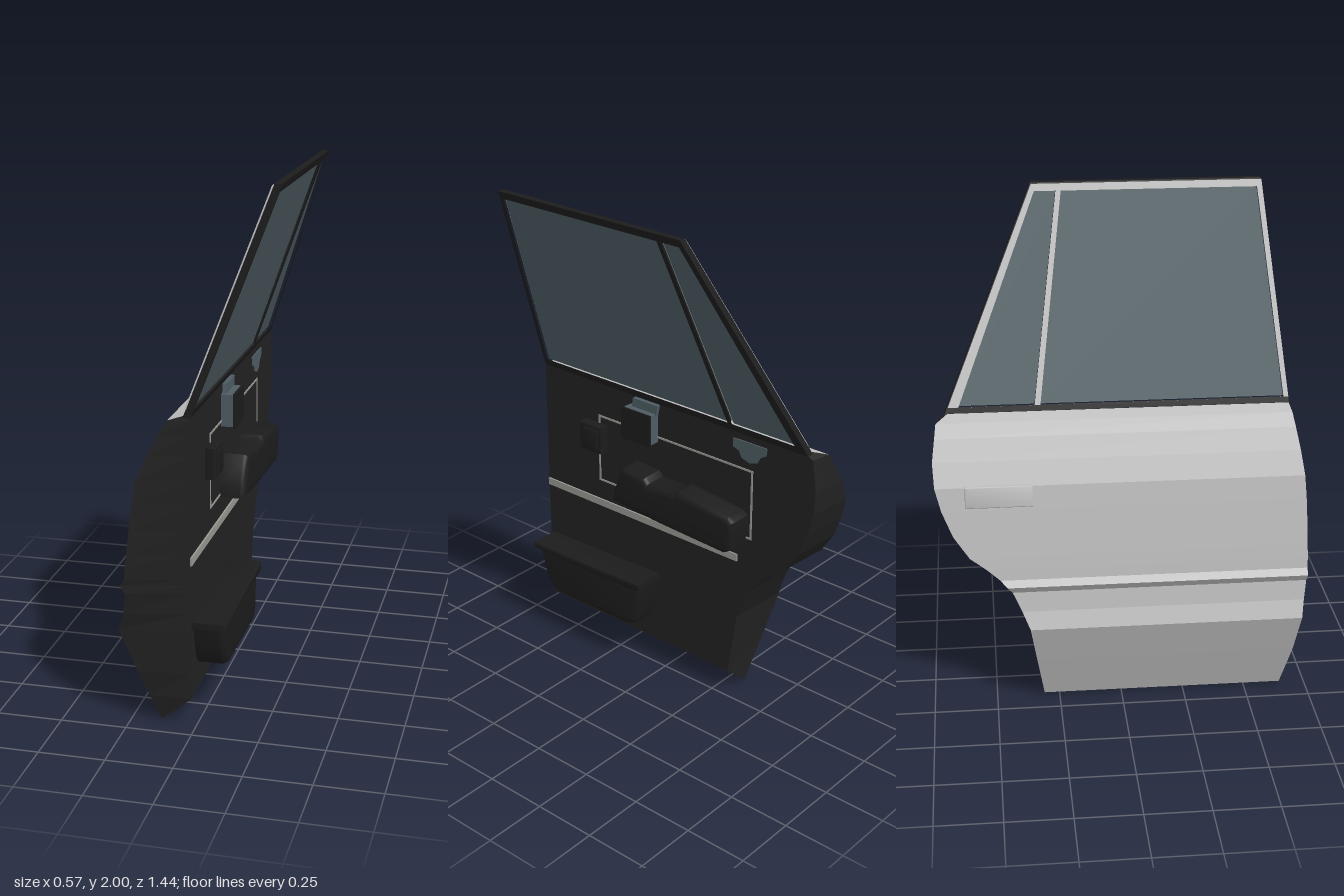
import * as THREE from 'three';
import { toCreasedNormals } from 'three/addons/utils/BufferGeometryUtils.js';

const mat = (name, color) => {
  const m = new THREE.MeshStandardMaterial({ color });
  m.name = name;
  return m;
};

export function createModel() {
  const silver = mat('silver paint', 0xc0c0c0);
  const dark = mat('dark lining', 0x222222);
  const black = mat('black plastic', 0x1c1c1c);
  const glass = mat('tinted glass', 0x4e5d63);
  const chrome = mat('grey trim', 0x989892);

  const door = new THREE.Group();
  door.name = 'vehicleDoor';

  const add = (name, geometry, material, parent = door) => {
    const mesh = new THREE.Mesh(geometry, material);
    mesh.name = name;
    parent.add(mesh);
    return mesh;
  };

  // Outline in (z, y) extruded along x from x0 to x1, with optional bevel and holes
  const toVec = ([z, y]) => new THREE.Vector2(-z, y);
  const slab = (outline, x0, x1, { bevel = 0, holes = [] } = {}) => {
    const shape = new THREE.Shape(outline.map(toVec));
    holes.forEach((h) => shape.holes.push(new THREE.Path(h.map(toVec))));
    const geo = new THREE.ExtrudeGeometry(shape, {
      depth: x1 - x0 - 2 * bevel, bevelEnabled: bevel > 0, bevelSize: bevel,
      bevelThickness: bevel, bevelOffset: -bevel, bevelSegments: 4,
    });
    geo.rotateY(Math.PI / 2).translate(x0 + bevel, 0, 0);
    return bevel ? toCreasedNormals(geo, 0.6) : geo;
  };
  const rect = (z0, z1, y0, y1) => [[z0, y0], [z1, y0], [z1, y1], [z0, y1]];

  // Door body cross-sections: y, outer x, front z, rear z
  const innerX = -0.022;
  const rows = [
    [0, -0.14, 0.65, -0.31], [0.1, -0.18, 0.668, -0.325], [0.2, -0.22, 0.685, -0.34],
    [0.37, -0.285, 0.702, -0.365], [0.44, -0.262, 0.71, -0.395], [0.52, -0.252, 0.718, -0.43],
    [0.55, -0.272, 0.72, -0.45], [0.575, -0.254, 0.72, -0.475], [0.62, -0.25, 0.72, -0.525],
    [0.67, -0.245, 0.718, -0.59], [0.76, -0.235, 0.715, -0.65], [0.86, -0.223, 0.71, -0.69],
    [0.95, -0.21, 0.703, -0.713], [1.04, -0.17, 0.69, -0.718], [1.12, -0.13, 0.675, -0.707],
    [1.17, -0.1, 0.665, -0.7], [1.188, -0.045, 0.66, -0.655],
  ];
  const rings = rows.map(([y, x, zf, zr], i) => {
    const xi = i === 0 ? x : innerX;
    const inset = i === 0 ? 0 : 0.014;
    return [[x, y, zf], [xi, y, Math.min(zf, 0.666)], [xi, y, zr + inset], [x, y, zr]];
  });
  const quads = (list) => {
    const geo = new THREE.BufferGeometry();
    const pos = list.flatMap(([a, b, c, d]) => [a, b, c, a, c, d].flat());
    geo.setAttribute('position', new THREE.Float32BufferAttribute(pos, 3));
    geo.computeVertexNormals();
    return geo;
  };
  const band = (k) => rings.slice(1).map((up, i) => {
    const lo = rings[i], n = (k + 1) % 4;
    return [lo[k], lo[n], up[n], up[k]];
  });
  add('outerSkin', quads(band(3)), silver);
  add('innerShell', quads([...band(0), ...band(1), ...band(2), rings[rings.length - 1]]), dark);

  // Window, built upright and then leaned by a shear
  const windowGroup = new THREE.Group();
  windowGroup.name = 'window';
  door.add(windowGroup);
  const lean = (geo) => {
    const p = geo.attributes.position;
    for (let i = 0; i < p.count; i++) p.setX(i, p.getX(i) + (p.getY(i) - 1.18) * 0.372);
    geo.computeVertexNormals();
    return geo;
  };
  const outer = [[0.662, 1.18], [0.575, 2], [-0.31, 2], [-0.668, 1.18]];
  const mainPane = [[0.64, 1.21], [0.56, 1.97], [-0.195, 1.97], [-0.3, 1.21]];
  const rearPane = [[-0.322, 1.21], [-0.215, 1.97], [-0.297, 1.97], [-0.612, 1.21]];
  const trimOuter = [[0.659, 1.21], [0.578, 1.995], [-0.308, 1.995], [-0.652, 1.21]];
  const trimPanes = [mainPane, rearPane].map((pane) =>
    pane.map(([z, y]) => [z, y < 1.5 ? 1.2101 : y]));
  add('windowFrame', lean(slab(outer, -0.046, -0.018, { holes: [mainPane, rearPane] })), black, windowGroup);
  add('outerFrameTrim', lean(slab(trimOuter, -0.051, -0.045, { holes: trimPanes })), silver, windowGroup);
  add('mainGlass', lean(slab(mainPane, -0.035, -0.029)), glass, windowGroup);
  add('rearGlass', lean(slab(rearPane, -0.035, -0.029)), glass, windowGroup);

  // Outside handle, following the slope of the skin
  const handle = add('outerHandle', slab(rect(0.13, -0.13, -0.042, 0.042), -0.014, 0.014, { bevel: 0.006 }), silver);
  handle.position.set(-0.219, 0.915, -0.47);
  handle.rotation.z = -0.14;

  // Armrest with grip
  add('armrest', slab([
    [0.22, 0.735], [0.215, 0.78], [0.185, 0.86], [0.165, 0.895], [0.05, 0.89], [0.03, 0.87],
    [-0.1, 0.872], [-0.12, 0.885], [-0.37, 0.862], [-0.395, 0.845], [-0.4, 0.8],
    [-0.385, 0.72], [-0.35, 0.7], [0, 0.715],
  ], -0.06, 0.08, { bevel: 0.025 }), black);

  // Storage pocket and its rim
  add('doorPocket', slab([
    [0.63, 0.39], [0.61, 0.3], [0.585, 0.23], [0.56, 0.205], [0.52, 0.193],
    [0.14, 0.19], [0.1, 0.205], [0.08, 0.24], [0.065, 0.4],
  ], -0.06, 0.092, { bevel: 0.025 }), black);
  add('pocketRim', slab([
    [0.65, 0.375], [0.648, 0.4], [0.4, 0.405], [0.05, 0.416], [0.05, 0.39], [0.08, 0.38],
  ], -0.04, 0.105, { bevel: 0.007 }), black);

  // Trim strip and panel outline
  add('trimStrip', slab(rect(0.665, -0.35, 0.627, 0.657), -0.03, -0.015), chrome);
  add('panelOutline', slab(rect(0.373, -0.416, 0.742, 1.038), -0.026, -0.019, {
    holes: [rect(0.365, -0.408, 0.75, 1.03)],
  }), chrome);

  // Switch block
  add('switchBlock', slab(rect(0.444, 0.326, 0.882, 1.002), -0.04, 0.018, { bevel: 0.008 }), black);
  add('switchPad', slab(rect(0.425, 0.345, 0.9, 0.985), 0.01, 0.025, { bevel: 0.005 }), black);

  // Inside latch housing with dark cover
  add('latchHousing', slab(rect(0.198, 0.057, 1.012, 1.138), -0.03, 0.026), glass);
  add('latchCover', slab(rect(0.203, 0.053, 1.007, 1.142), 0.025, 0.033), black);
  add('latchBacking', slab([[0.18, 1.13], [0.172, 1.175], [0.045, 1.175], [0.055, 1.13]], -0.028, -0.005), glass);

  // Small glossy plate near the rear corner
  add('cornerPlate', slab([
    [-0.32, 1.15], [-0.322, 1.115], [-0.35, 1.105], [-0.362, 1.08], [-0.4, 1.068],
    [-0.435, 1.078], [-0.45, 1.105], [-0.475, 1.12], [-0.48, 1.152], [-0.4, 1.152],
  ], -0.026, -0.017), glass);

  return door;
}
